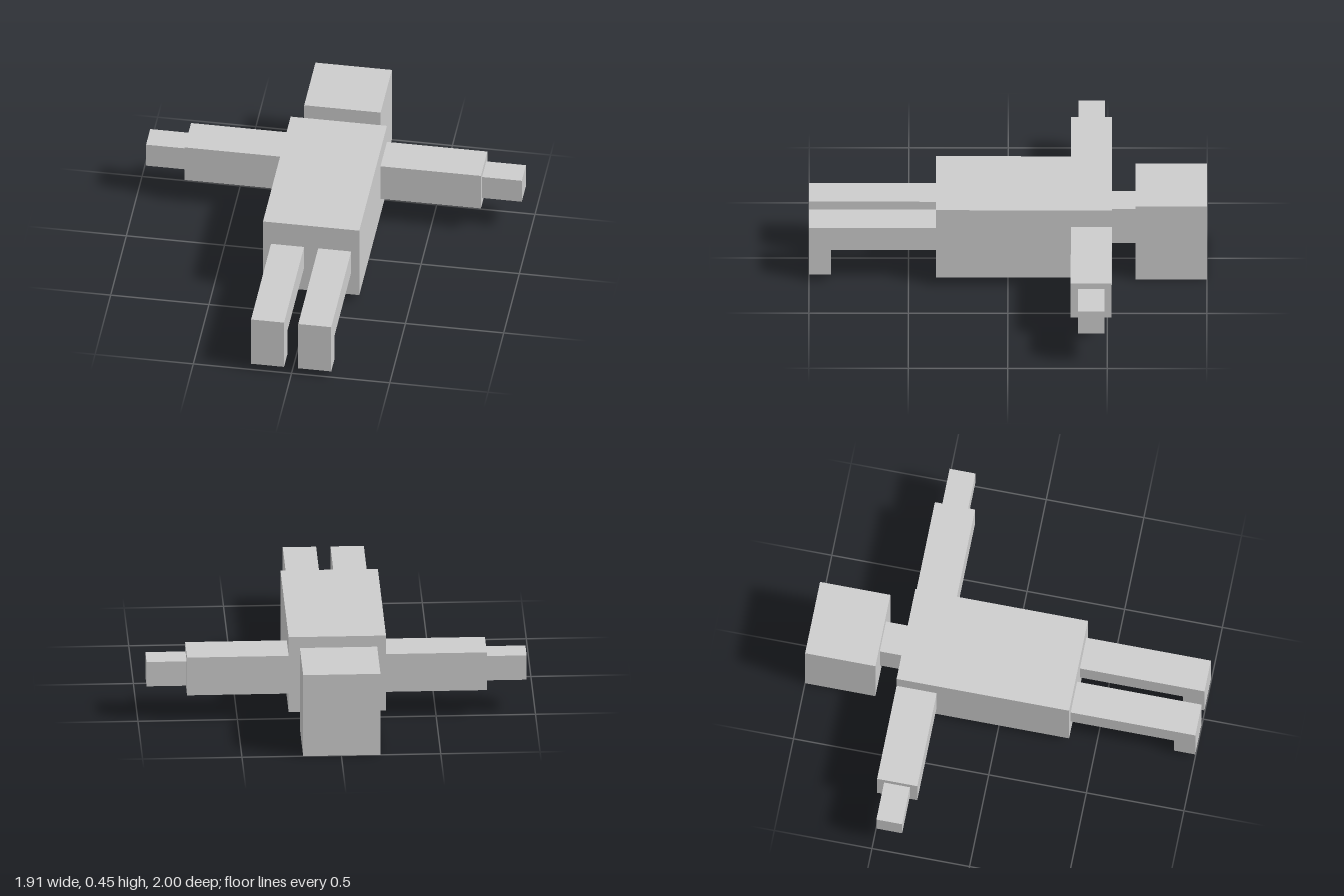
import * as THREE from 'three';

const material = new THREE.MeshStandardMaterial({ color: 0xcccccc, flatShading: true });

// Box given by its [min, max] range on each axis
function block(name, [x0, x1], [y0, y1], [z0, z1]) {
  const mesh = new THREE.Mesh(new THREE.BoxGeometry(x1 - x0, y1 - y0, z1 - z0), material);
  mesh.position.set((x0 + x1) / 2, (y0 + y1) / 2, (z0 + z1) / 2);
  mesh.name = name;
  return mesh;
}

// Leg and foot as one L-shaped side profile (z, y), extruded across x
function leg(name, x) {
  const width = 0.168;
  const profile = new THREE.Shape([
    [0.36, 0.183], [0.89, 0.183], [0.89, 0.036], [1, 0.036], [1, 0.315], [0.36, 0.315],
  ].map(([z, y]) => new THREE.Vector2(z, y)));
  const geometry = new THREE.ExtrudeGeometry(profile, { depth: width, bevelEnabled: false });
  geometry.translate(0, 0, -width / 2).rotateY(-Math.PI / 2);
  const mesh = new THREE.Mesh(geometry, material);
  mesh.position.x = x;
  mesh.name = name;
  return mesh;
}

export function createModel() {
  const model = new THREE.Group();
  model.name = 'lyingFigure';

  // Body, neck and head along z
  model.add(
    block('torso', [-0.247, 0.243], [0.045, 0.451], [-0.522, 0.362]),
    block('neck', [-0.083, 0.08], [0.145, 0.35], [-0.64, -0.522]),
    block('head', [-0.197, 0.192], [0, 0.44], [-1, -0.64]),
  );

  // Mirrored limbs
  for (const [side, s] of [['left', 1], ['right', -1]]) {
    const span = (a, b) => (s > 0 ? [a, b] : [-b, -a]);
    model.add(
      block(side + 'Arm', span(0.243, 0.754), [0.145, 0.35], [-0.522, -0.316]),
      block(side + 'Hand', span(0.754, 0.956), [0.183, 0.315], [-0.486, -0.354]),
      leg(side + 'Leg', s * 0.12 - 0.002),
    );
  }
  return model;
}
